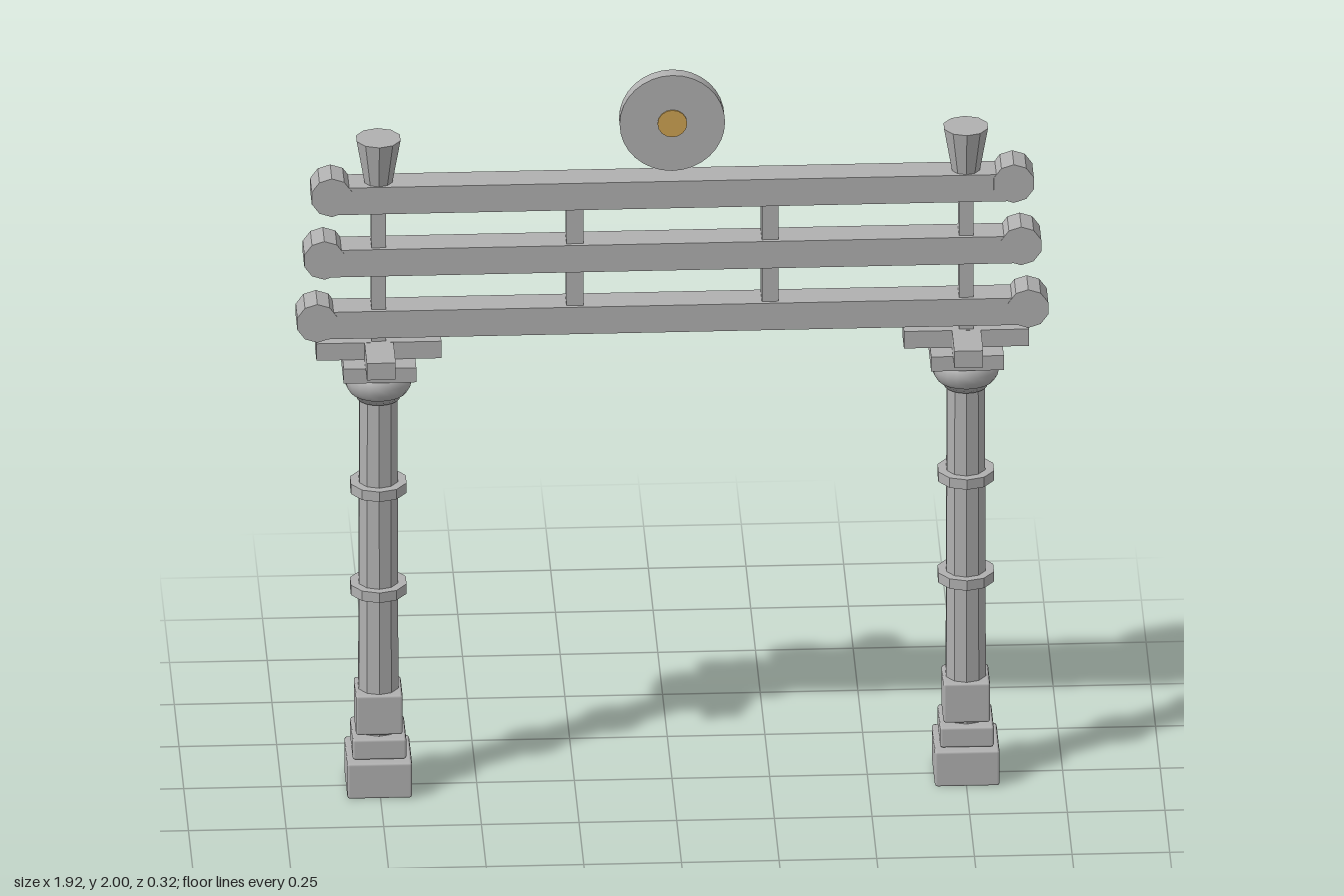
import * as THREE from 'three';
import { RoundedBoxGeometry } from 'three/addons/geometries/RoundedBoxGeometry.js';

export function createModel() {
  const gate = new THREE.Group();
  gate.name = 'gate';

  const stone = new THREE.MeshStandardMaterial({ color: 0xb0b0b0 });
  stone.name = 'grey stone';
  const gold = new THREE.MeshStandardMaterial({ color: 0xcda252 });
  gold.name = 'gold';

  const add = (parent, name, geometry, x, y, z = 0, material = stone) => {
    const mesh = new THREE.Mesh(geometry, material);
    mesh.name = name;
    mesh.position.set(x, y, z);
    parent.add(mesh);
    return mesh;
  };
  const box = (w, h, d) => new THREE.BoxGeometry(w, h, d);
  const block = (w, h, d) => new RoundedBoxGeometry(w, h, d, 1, 0.007);
  // Ten-sided faceted drum
  const drum = (top, bottom, h) => new THREE.CylinderGeometry(top, bottom, h, 10).toNonIndexed();
  const facet = (geometry) => { geometry.computeVertexNormals(); return geometry; };

  const capitalProfile = [
    [0, 1.1], [0.056, 1.1], [0.06, 1.115], [0.074, 1.12], [0.084, 1.137],
    [0.088, 1.155], [0.084, 1.172], [0.074, 1.185], [0, 1.185],
  ].map(([r, y]) => new THREE.Vector2(r, y));

  for (const side of [-1, 1]) {
    const pillar = new THREE.Group();
    pillar.name = side > 0 ? 'leftPillar' : 'rightPillar';
    pillar.position.x = side * 0.752;
    gate.add(pillar);

    // Stepped plinth
    add(pillar, 'plinthBase', block(0.166, 0.1, 0.172), 0, 0.05);
    add(pillar, 'plinthStep', block(0.138, 0.058, 0.146), 0, 0.133);
    add(pillar, 'plinthTop', block(0.12, 0.112, 0.122), 0, 0.224);

    // Shaft, bands and capital
    add(pillar, 'shaft', facet(drum(0.051, 0.054, 1.06)), 0, 0.59);
    for (const y of [0.564, 0.85]) {
      add(pillar, 'band', facet(drum(0.075, 0.075, 0.028)), 0, y);
    }
    add(pillar, 'capital', new THREE.LatheGeometry(capitalProfile, 20), 0, 0);

    // Crossed bracket
    add(pillar, 'bracketPlate', box(0.186, 0.041, 0.184), 0, 1.202);
    add(pillar, 'bracketAcross', box(0.32, 0.048, 0.074), 0, 1.246);
    add(pillar, 'bracketForward', box(0.074, 0.0475, 0.32), 0, 1.246);

    // Upper post and flared finial
    add(pillar, 'upperPost', box(0.037, 0.44, 0.06), 0, 1.48);
    add(pillar, 'finial', facet(drum(0.059, 0.037, 0.123)), 0, 1.77);

    add(gate, 'strut', box(0.043, 0.36, 0.06), side * 0.25, 1.5);
  }

  // Three beams with drum-shaped ends: [beam y, end y, end x]
  for (const [y, endY, endX] of [[1.322, 1.33, 0.91], [1.497, 1.508, 0.892], [1.673, 1.685, 0.873]]) {
    add(gate, 'beam', box(endX * 2, 0.076, 0.082), 0, y);
    for (const side of [-1, 1]) {
      const end = facet(drum(0.054, 0.054, 0.086).rotateX(Math.PI / 2));
      add(gate, 'beamEnd', end, side * endX, endY);
    }
  }

  // Disc with a gold centre on each face
  const disc = (r, h, n) => new THREE.CylinderGeometry(r, r, h, n).rotateX(Math.PI / 2);
  add(gate, 'disc', disc(0.135, 0.036, 32), 0, 1.865);
  add(gate, 'discCentre', disc(0.038, 0.044, 16), 0, 1.865, 0, gold);

  return gate;
}
